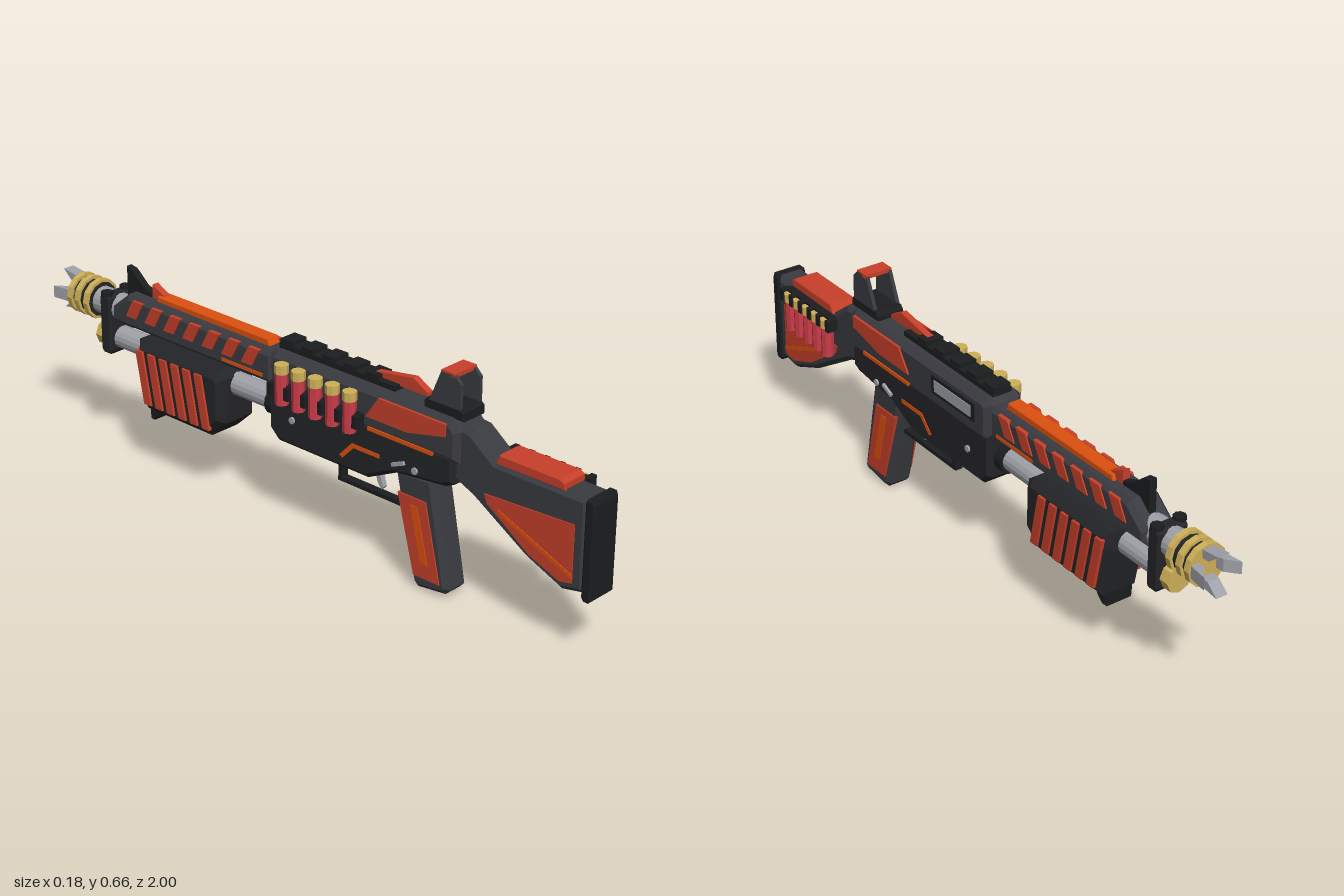
import * as THREE from 'three';

const mat = (color) => new THREE.MeshStandardMaterial({ color, flatShading: true });
const M = {
  body: mat(0x3a3b41), dark: mat(0x242528), black: mat(0x1c1d1f), red: mat(0xc8402a),
  orange: mat(0xde500f), steel: mat(0x9fa1a8), brass: mat(0xcfb058), shell: mat(0xc93c48),
};

export function createModel() {
  const root = new THREE.Group();
  root.name = 'shotgun';
  root.position.x = 0.008;

  const add = (name, geo, material, x = 0, y = 0, z = 0, parent = root) => {
    const m = new THREE.Mesh(geo, material);
    m.name = name;
    m.position.set(x, y, z);
    parent.add(m);
    return m;
  };
  const box = (name, material, w, h, d, x, y, z) => add(name, new THREE.BoxGeometry(w, h, d), material, x, y, z);
  // cylinder lying along z
  const tube = (name, material, r, z0, z1, y, x = 0, sides = 16) =>
    add(name, new THREE.CylinderGeometry(r, r, Math.abs(z1 - z0), sides).rotateX(Math.PI / 2), material, x, y, (z0 + z1) / 2);
  // side outline given as [z, y], given width across x with chamfered edges
  const slab = (name, material, pts, width, bevel = 0, x = 0) => {
    const shape = new THREE.Shape(pts.map(([z, y]) => new THREE.Vector2(-z, y)));
    const geo = new THREE.ExtrudeGeometry(shape, {
      depth: width - 2 * bevel, bevelEnabled: bevel > 0, bevelThickness: bevel,
      bevelSize: bevel, bevelOffset: -bevel, bevelSegments: 1,
    });
    geo.translate(0, 0, -(width - 2 * bevel) / 2).rotateY(Math.PI / 2);
    return add(name, geo, material, x);
  };
  // thin raised panel on both flanks, outer face at +-reach
  const panels = (name, material, pts, reach) => {
    for (const s of [-1, 1]) slab(name, material, pts, 0.012, 0, s * (reach - 0.006));
  };

  // stock
  slab('stock', M.body, [[0.975, 0.465], [0.68, 0.465], [0.6, 0.525], [0.54, 0.53], [0.54, 0.37], [0.6, 0.345],
    [0.78, 0.235], [0.9, 0.185], [0.975, 0.2]], 0.092, 0.014);
  slab('buttPad', M.black, [[0.968, 0.455], [0.975, 0.468], [0.995, 0.468], [1, 0.455], [1, 0.19], [0.99, 0.18],
    [0.975, 0.18], [0.968, 0.19]], 0.098, 0.006);
  slab('cheekRest', M.red, [[0.9, 0.46], [0.9, 0.482], [0.885, 0.49], [0.69, 0.49], [0.675, 0.46]], 0.082, 0.004);
  panels('stockPanel', M.red, [[0.94, 0.385], [0.94, 0.22], [0.9, 0.212], [0.8, 0.25], [0.66, 0.345], [0.65, 0.37]], 0.049);
  panels('stockLine', M.orange, [[0.94, 0.245], [0.94, 0.233], [0.7, 0.33], [0.7, 0.342]], 0.051);

  // upper and lower receiver
  slab('upperReceiver', M.body, [[0.57, 0.42], [0.57, 0.515], [0.54, 0.545], [-0.09, 0.545], [-0.112, 0.53],
    [-0.112, 0.42]], 0.124, 0.018);
  slab('lowerReceiver', M.dark, [[0.552, 0.44], [0.552, 0.36], [0.52, 0.345], [0.35, 0.325], [0.25, 0.277], [-0.08, 0.277],
    [-0.115, 0.31], [-0.115, 0.44]], 0.116, 0.012);
  panels('receiverPanel', M.red, [[0.53, 0.53], [0.3, 0.53], [0.255, 0.465], [0.4, 0.465], [0.53, 0.495]], 0.067);
  panels('receiverLine', M.orange, [[0.485, 0.436], [0.26, 0.436], [0.26, 0.425], [0.485, 0.425]], 0.064);
  panels('receiverAngleLine', M.orange, [[0.3, 0.365], [0.2, 0.365], [0.155, 0.317], [0.168, 0.312], [0.207, 0.353],
    [0.3, 0.353]], 0.06);
  slab('portFrame', M.black, [[0.145, 0.515], [-0.055, 0.515], [-0.055, 0.46], [0.145, 0.46]], 0.01, 0, 0.059);
  slab('ejectionPort', M.steel, [[0.13, 0.505], [-0.04, 0.505], [-0.04, 0.47], [0.13, 0.47]], 0.01, 0, 0.061);
  box('loadingPlate', M.steel, 0.06, 0.008, 0.2, 0, 0.276, 0.05);
  for (const s of [-1, 1]) {
    for (const z of [0.425, -0.02])
      add('receiverPin', new THREE.CylinderGeometry(0.01, 0.01, 0.01, 8).rotateZ(Math.PI / 2), M.steel, s * 0.059, 0.36, z);
    const lever = box('selectorLever', M.steel, 0.01, 0.01, 0.045, s * 0.061, 0.362, 0.368);
    lever.rotation.x = -0.4;
  }

  // top rail with ridges
  box('topRail', M.black, 0.06, 0.016, 0.42, 0, 0.552, 0.115);
  for (let i = 0; i < 5; i++) box('railRidge', M.black, 0.056, 0.014, 0.045, 0, 0.564, 0.24 - i * 0.078);
  slab('railFin', M.red, [[0.42, 0.565], [0.37, 0.592], [0.22, 0.568], [0.22, 0.555], [0.42, 0.555]], 0.02);

  // rear sight
  slab('rearSightBase', M.black, [[0.57, 0.54], [0.57, 0.565], [0.56, 0.572], [0.445, 0.572], [0.435, 0.56], [0.435, 0.54]], 0.086, 0.004);
  for (const s of [-1, 1])
    slab('rearSightWall', M.body, [[0.558, 0.57], [0.558, 0.64], [0.538, 0.66], [0.492, 0.66], [0.455, 0.57]], 0.011, 0, s * 0.0375);
  box('rearSightBridge', M.red, 0.086, 0.012, 0.046, 0, 0.659, 0.515);

  // pistol grip, trigger and guard
  slab('pistolGrip', M.body, [[0.47, 0.345], [0.335, 0.335], [0.405, 0.02], [0.42, 0.005], [0.515, 0.017], [0.53, 0.033]], 0.086, 0.014);
  panels('gripPanel', M.red, [[0.452, 0.272], [0.355, 0.272], [0.415, 0.045], [0.505, 0.045]], 0.047);
  panels('gripLine', M.orange, [[0.425, 0.25], [0.4, 0.25], [0.44, 0.09], [0.465, 0.09]], 0.049);
  box('guardBottom', M.black, 0.024, 0.012, 0.27, 0, 0.214, 0.242);
  box('guardFront', M.black, 0.024, 0.072, 0.012, 0, 0.244, 0.115);
  slab('trigger', M.steel, [[0.25, 0.3], [0.235, 0.3], [0.248, 0.25], [0.262, 0.23], [0.268, 0.238]], 0.016);

  // barrel, magazine tube and clamp
  tube('barrel', M.steel, 0.041, -0.1, -0.93, 0.462);
  tube('magazineTube', M.steel, 0.034, -0.1, -0.82, 0.368);
  tube('tubeCollar', M.black, 0.042, -0.11, -0.145, 0.365);
  tube('magazineCap', M.brass, 0.04, -0.81, -0.842, 0.366, 0, 8);
  slab('barrelClamp', M.dark, [[-0.768, 0.495], [-0.775, 0.505], [-0.803, 0.505], [-0.812, 0.495], [-0.812, 0.335],
    [-0.803, 0.322], [-0.775, 0.322], [-0.768, 0.335]], 0.096, 0.006);
  for (const s of [-1, 1]) add('clampBolt', new THREE.CylinderGeometry(0.018, 0.018, 0.012, 8), M.black, s * 0.036, 0.508, -0.79);

  // barrel shroud with slanted stripes
  slab('barrelShroud', M.body, [[-0.105, 0.433], [-0.105, 0.53], [-0.69, 0.535], [-0.76, 0.478], [-0.76, 0.433]], 0.102, 0.014);
  for (let i = 0; i < 7; i++) {
    const z = -0.15 - i * 0.078;
    panels('shroudStripe', M.red, [[z, 0.526], [z - 0.042, 0.526], [z - 0.072, 0.472], [z - 0.03, 0.472]], 0.055);
  }
  panels('shroudLine', M.orange, [[-0.14, 0.46], [-0.3, 0.46], [-0.3, 0.45], [-0.14, 0.45]], 0.053);
  slab('shroudTopStrip', M.orange, [[-0.14, 0.525], [-0.15, 0.55], [-0.59, 0.55], [-0.6, 0.525]], 0.042, 0.003);

  // front sight
  slab('frontSightRamp', M.red, [[-0.56, 0.535], [-0.56, 0.545], [-0.622, 0.575], [-0.622, 0.535]], 0.022);
  slab('frontSight', M.black, [[-0.62, 0.53], [-0.62, 0.545], [-0.66, 0.56], [-0.705, 0.598], [-0.73, 0.602], [-0.73, 0.5]], 0.022, 0.003);

  // muzzle: sleeve, brass bands and prongs
  tube('muzzleSleeve', M.dark, 0.052, -0.85, -0.935, 0.462, 0, 12);
  for (const z of [-0.862, -0.9, -0.932]) tube('muzzleBand', M.brass, 0.061, z + 0.009, z - 0.009, 0.462, 0, 12);
  for (let i = 0; i < 4; i++) {
    const prong = slab('muzzleProng', M.steel, [[-0.92, 0.026], [-0.92, 0.05], [-1, 0.06], [-0.965, 0.03]], 0.036);
    prong.rotation.z = i * Math.PI / 2;
    prong.position.y = 0.462;
  }
  tube('bore', M.black, 0.026, -0.92, -0.936, 0.462);

  // pump foregrip with slanted ribs
  slab('foregrip', M.dark, [[-0.285, 0.395], [-0.31, 0.415], [-0.638, 0.415], [-0.64, 0.36], [-0.61, 0.205], [-0.345, 0.205],
    [-0.285, 0.26]], 0.144, 0.022);
  slab('foregripFoot', M.black, [[-0.56, 0.21], [-0.575, 0.185], [-0.595, 0.168], [-0.61, 0.168], [-0.612, 0.21]], 0.09, 0.005);
  for (let i = 0; i < 6; i++) {
    const z = -0.335 - i * 0.048;
    panels('foregripRib', M.red, [[z - 0.025, 0.392], [z - 0.053, 0.392], [z - 0.022, 0.232], [z + 0.006, 0.232]], 0.079);
  }

  // spare shells: a strap with a row of five upright cartridges
  const shellRow = (name, x, top, z0, step, strapY) => {
    const row = new THREE.Group();
    row.name = name;
    root.add(row);
    for (let i = 0; i < 5; i++) {
      const z = z0 + i * step;
      add('shellBody', new THREE.CylinderGeometry(0.019, 0.019, 0.092, 8), M.shell, x, top - 0.072, z, row);
      add('shellHead', new THREE.CylinderGeometry(0.0205, 0.0205, 0.026, 8), M.brass, x, top - 0.013, z, row);
    }
    const len = step * 4 + 0.055;
    const s = Math.sign(x);
    add('shellStrap', new THREE.BoxGeometry(0.024, 0.036, len), M.black, x - s * 0.01, strapY, z0 + step * 2, row);
    for (let i = 0; i < 6; i++)
      add('strapDivider', new THREE.BoxGeometry(0.032, 0.036, 0.016), M.black, x + s * 0.002, strapY, z0 + (i - 0.5) * step, row);
    return row;
  };
  shellRow('receiverShells', -0.079, 0.528, -0.04, 0.0625, 0.451);
  shellRow('stockShells', 0.064, 0.457, 0.675, 0.049, 0.446);

  const model = new THREE.Group();
  model.name = 'model';
  model.add(root);
  return model;
}
